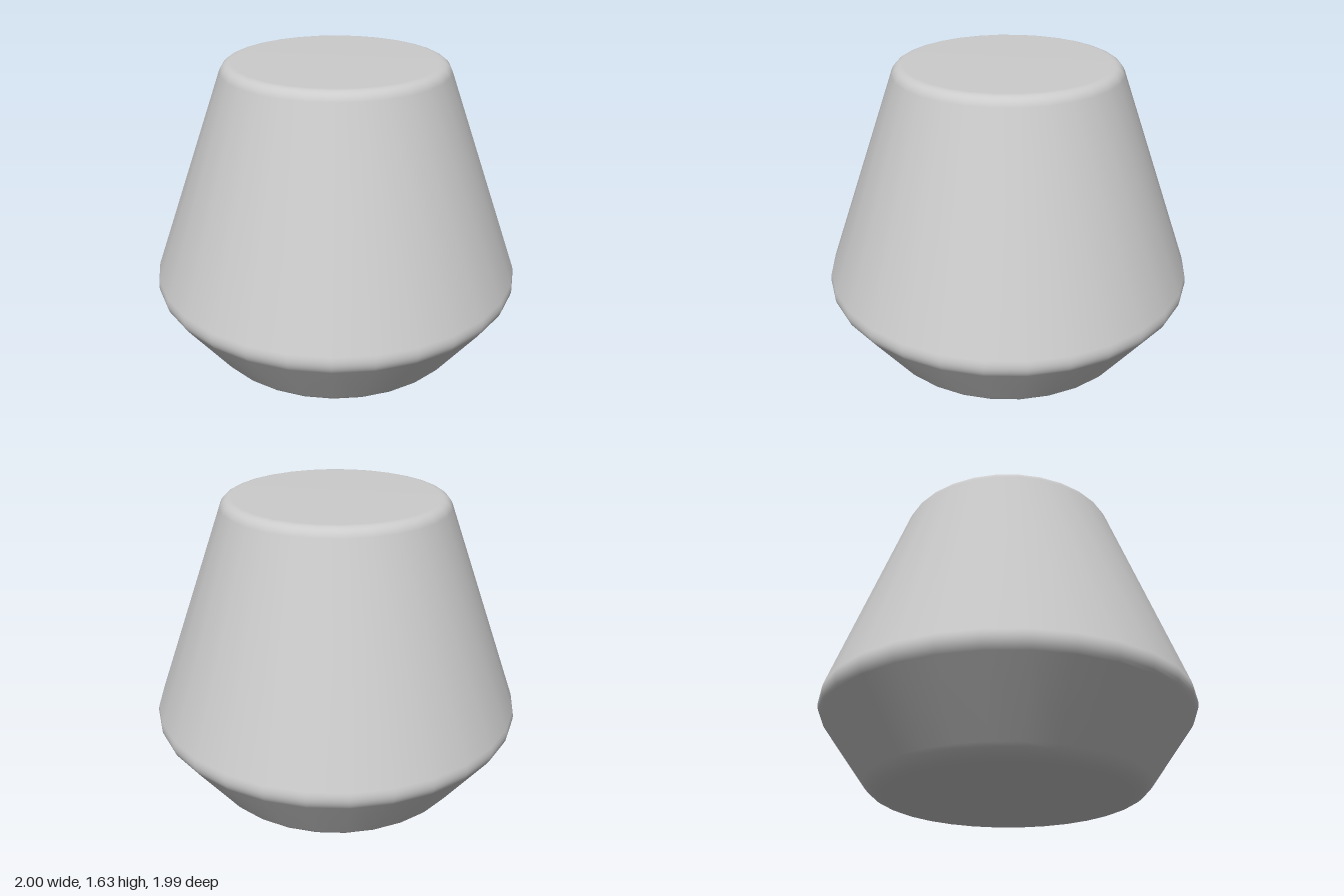
import * as THREE from 'three';

// Straight-sided profile whose inner corners are softened by a small curve
function roundedProfile(corners, setbacks, steps) {
  const pts = [corners[0]];
  for (let i = 1; i < corners.length - 1; i++) {
    const c = corners[i];
    const towards = (p) => c.clone().add(p.clone().sub(c).setLength(setbacks[i - 1]));
    const bend = new THREE.QuadraticBezierCurve(towards(corners[i - 1]), c, towards(corners[i + 1]));
    pts.push(...bend.getPoints(steps));
  }
  pts.push(corners[corners.length - 1]);
  return pts;
}

export function createModel() {
  const group = new THREE.Group();
  group.name = 'taperedKnob';

  // Bottom centre, base edge, widest rim, top edge, top centre
  const corners = [[0, 0], [0.7, 0], [1.012, 0.43], [0.583, 1.627], [0, 1.627]]
    .map(([r, y]) => new THREE.Vector2(r, y));
  const profile = roundedProfile(corners, [0.075, 0.055, 0.05], 6);

  // 30-sided turned body, with a vertex line on the x axis
  const body = new THREE.Mesh(
    new THREE.LatheGeometry(profile, 30, Math.PI / 2),
    new THREE.MeshStandardMaterial({ color: 0xcccccc })
  );
  body.name = 'body';
  group.add(body);
  return group;
}
